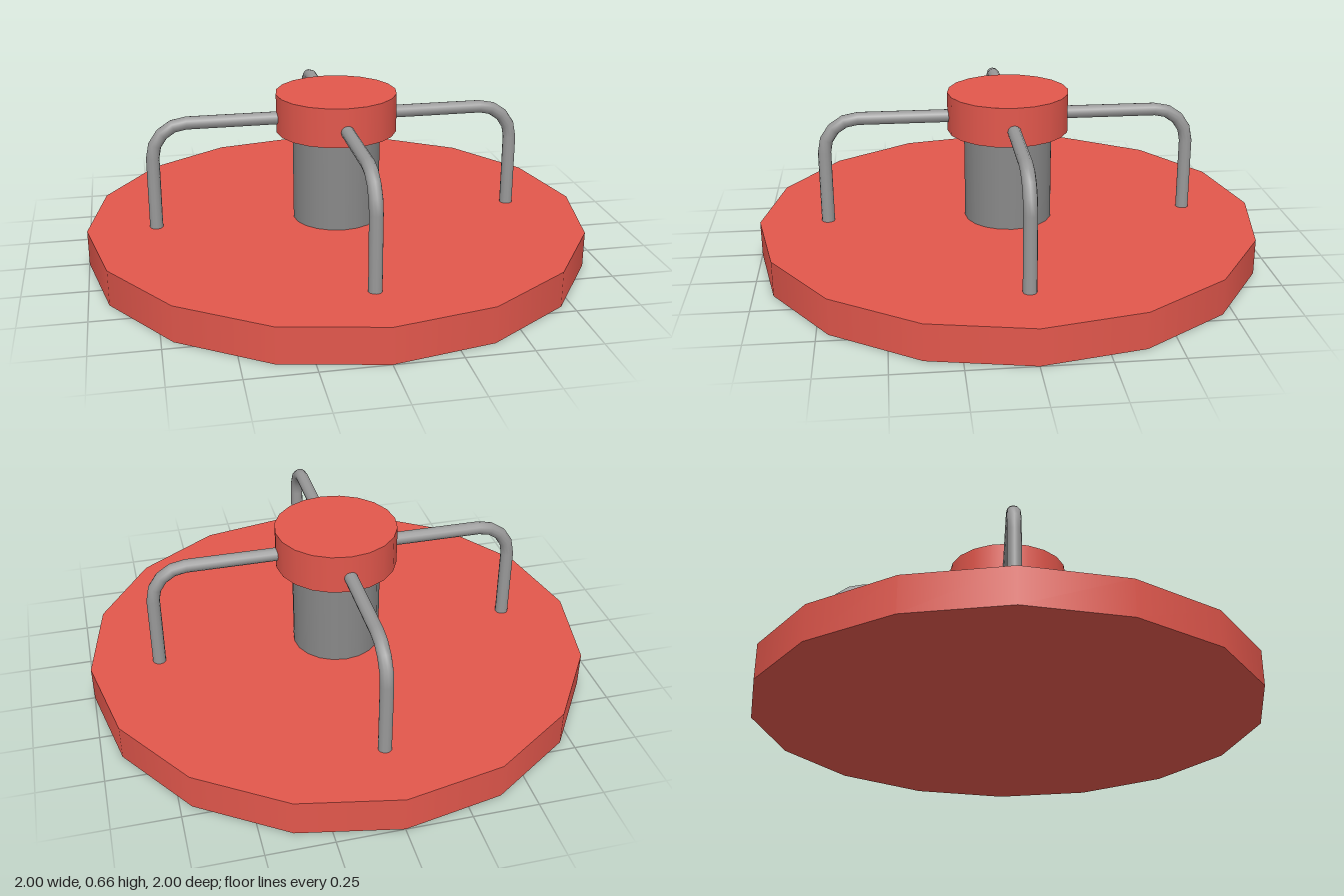
import * as THREE from 'three';

const red = new THREE.MeshStandardMaterial({ color: 0xe2574c });
const darkGrey = new THREE.MeshStandardMaterial({ color: 0x888888 });
const steel = new THREE.MeshStandardMaterial({ color: 0x999999 });

function mesh(name, geometry, material, x = 0, y = 0) {
  const m = new THREE.Mesh(geometry, material);
  m.name = name;
  m.position.set(x, y, 0);
  return m;
}

// Upright cylinder between two heights
function disc(name, radius, y0, y1, sides, material, x = 0) {
  return mesh(name, new THREE.CylinderGeometry(radius, radius, y1 - y0, sides), material, x, (y0 + y1) / 2);
}

// Bent rail along +x: out from the hub, round the bend, down to the deck
function handrail() {
  const tube = 0.026, reach = 0.728, height = 0.565, bend = 0.135, inner = 0.2, sides = 12;
  const rail = new THREE.Group();
  rail.name = 'handrail';

  const length = reach - bend - inner;
  const bar = new THREE.CylinderGeometry(tube, tube, length, sides).rotateZ(Math.PI / 2);
  rail.add(mesh('railBar', bar, steel, inner + length / 2, height));

  const elbow = new THREE.TorusGeometry(bend, tube, sides, 4, Math.PI / 2);
  rail.add(mesh('railBend', elbow, steel, reach - bend, height - bend));

  rail.add(disc('railUpright', tube, 0.13, height - bend, sides, steel, reach));
  return rail;
}

export function createModel() {
  const model = new THREE.Group();
  model.name = 'merryGoRound';

  // Turning deck, centre post and hub
  model.add(disc('deck', 1, 0, 0.14, 16, red));
  model.add(disc('centrePost', 0.175, 0.13, 0.52, 20, darkGrey));
  model.add(disc('hub', 0.24, 0.505, 0.66, 20, red));

  // Four handrails around the hub
  for (let i = 0; i < 4; i++) {
    const rail = handrail();
    rail.rotation.y = i * Math.PI / 2;
    model.add(rail);
  }
  return model;
}
